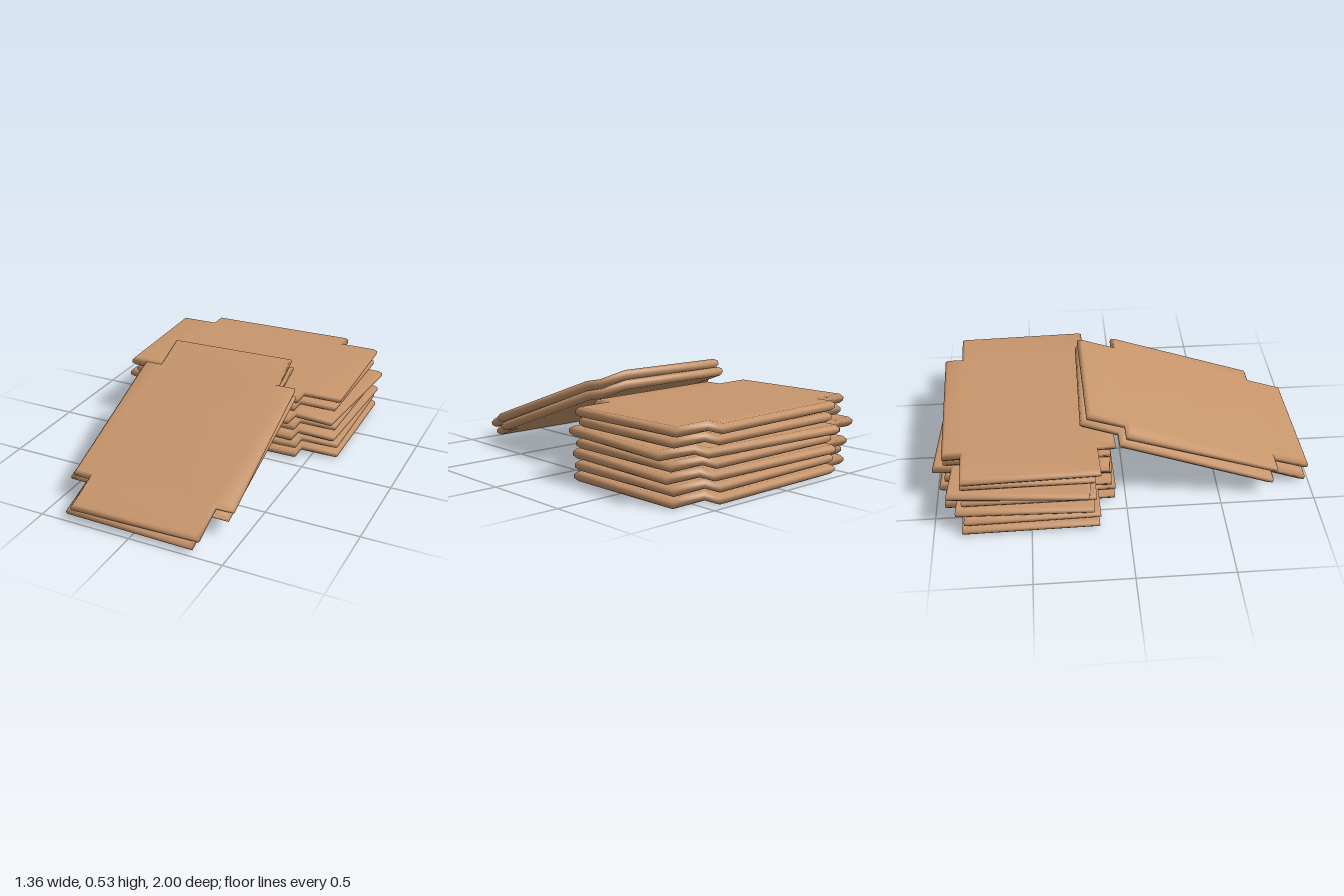
import * as THREE from 'three';
import { mergeVertices } from 'three/addons/utils/BufferGeometryUtils.js';

const THICK = 0.05;

// Flattened box: wide panel with a shorter flap on each long side and a ridged edge
function sheetGeometry() {
  const W = 0.64, D = 0.352, tabW = 0.432, tabD = 0.447;
  const quarter = [[W, D], [tabW, D], [tabW, tabD]];
  const mirror = (sx, sz) => quarter.map(([x, z]) => new THREE.Vector2(x * sx, z * sz));
  const outline = [
    ...mirror(1, 1), ...mirror(-1, 1).reverse(),
    ...mirror(-1, -1), ...mirror(1, -1).reverse(),
  ];
  const bevel = 0.016, depth = THICK - 2 * bevel;
  const extruded = new THREE.ExtrudeGeometry(new THREE.Shape(outline), {
    depth, bevelEnabled: true, bevelThickness: bevel, bevelSize: 0.015,
    bevelOffset: -0.015, bevelSegments: 1,
  });
  extruded.translate(0, 0, -depth / 2);
  extruded.rotateX(-Math.PI / 2);
  // Soft shading across the worn edges
  extruded.deleteAttribute('normal');
  extruded.deleteAttribute('uv');
  const geometry = mergeVertices(extruded, 1e-4);
  geometry.computeVertexNormals();
  return geometry;
}

export function createModel() {
  const model = new THREE.Group();
  model.name = 'flattenedBoxes';
  const cardboard = new THREE.MeshStandardMaterial({ color: 0xc8966c });
  cardboard.name = 'cardboard';
  const geometry = sheetGeometry();

  const addSheet = (parent, name, x, y, z, turn, size = 1) => {
    const sheet = new THREE.Mesh(geometry, cardboard);
    sheet.name = name;
    sheet.position.set(x, y, z);
    sheet.rotation.y = turn;
    sheet.scale.set(size, 1, size);
    parent.add(sheet);
  };

  // Untidy stack, bottom to top: [x, z, turn, size]
  const stack = new THREE.Group();
  stack.name = 'stack';
  [
    [0, -0.51, 0.012, 1],
    [0, -0.505, 0.02, 0.99],
    [0, -0.51, -0.03, 1],
    [0.005, -0.505, 0, 0.97],
    [0, -0.51, -0.075, 1.02],
    [0, -0.51, 0.005, 0.96],
    [-0.003, -0.508, 0.03, 0.99],
  ].forEach(([x, z, turn, size], i) =>
    addSheet(stack, `stackedSheet${i + 1}`, x, THICK / 2 + i * 0.0548, z, turn, size));
  model.add(stack);

  // Two sheets leaning on the front of the stack, turned lengthwise
  const leaning = new THREE.Group();
  leaning.name = 'leaningSheets';
  leaning.position.set(0, 0.271, 0.385);
  leaning.rotation.x = 0.347;
  addSheet(leaning, 'lowerLeaningSheet', -0.012, -THICK / 2, 0, Math.PI / 2 - 0.01);
  addSheet(leaning, 'upperLeaningSheet', 0.005, THICK / 2, 0, Math.PI / 2 + 0.025, 0.99);
  model.add(leaning);

  return model;
}
